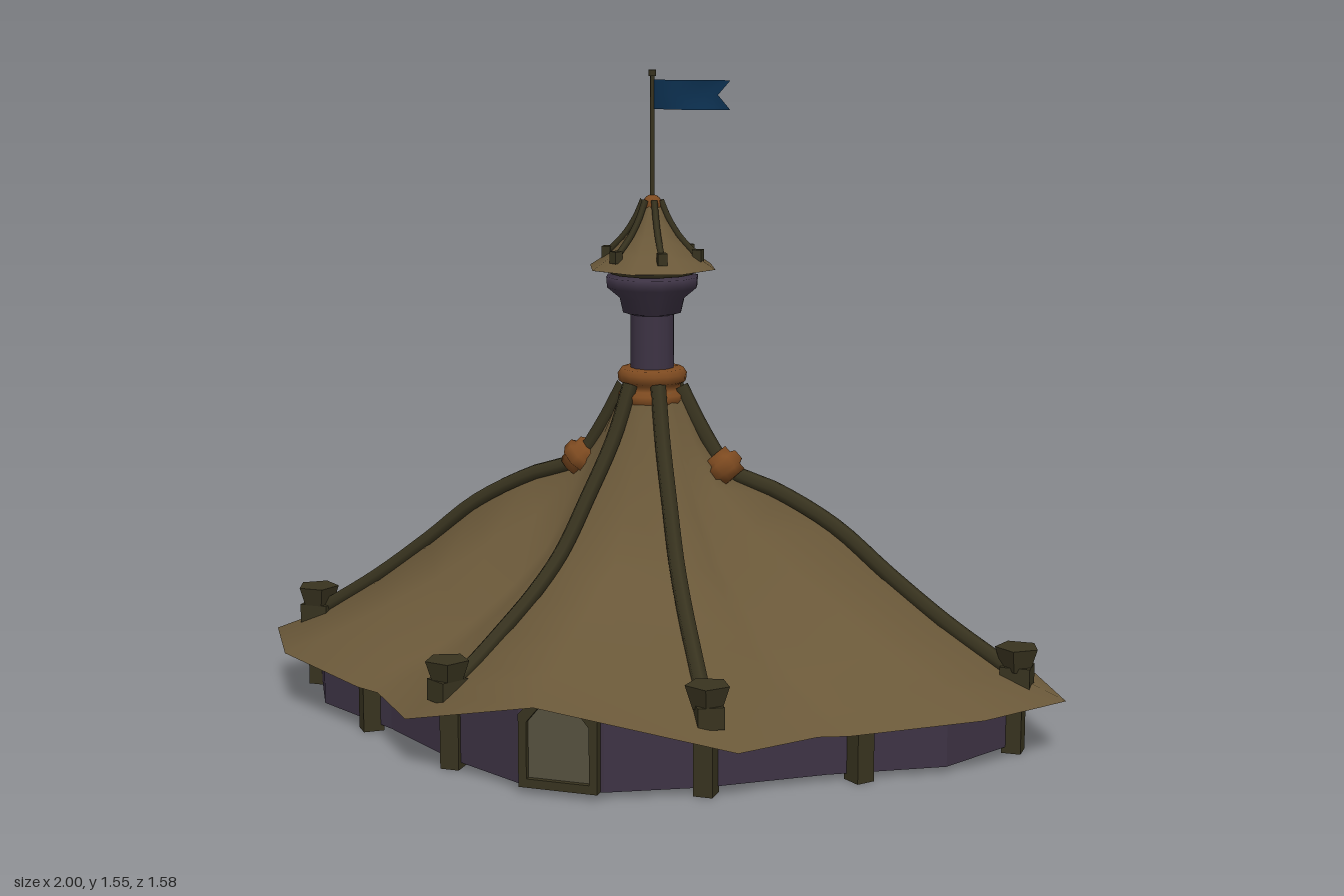
import * as THREE from 'three';

const mat = (name, color, side = THREE.FrontSide) => {
  const m = new THREE.MeshStandardMaterial({ color, side });
  m.name = name;
  return m;
};
const V = (x, y, z) => new THREE.Vector3(x, y, z);

// Repeat a quarter of a plan (columns from +x round to +z) into a full ring
function mirror4(cols) {
  const flip = (list, sx, sz) => list.map(c => c.map(p => V(p.x * sx, p.y, p.z * sz)));
  const rev = [...cols].reverse();
  return [...cols, ...flip(rev.slice(1), -1, 1), ...flip(cols.slice(1), -1, -1), ...flip(rev.slice(1, -1), 1, -1)];
}

// Skin a closed ring of columns
function loft(cols, flat = false) {
  const n = cols[0].length, index = [];
  cols.forEach((_, s) => {
    const t = (s + 1) % cols.length;
    for (let k = 0; k < n - 1; k++) {
      const a = s * n + k, b = t * n + k;
      index.push(a, b, a + 1, b, b + 1, a + 1);
    }
  });
  let g = new THREE.BufferGeometry().setFromPoints(cols.flat());
  g.setIndex(index);
  if (flat) g = g.toNonIndexed();
  g.computeVertexNormals();
  return g;
}

// Roof profiles [radius, height] at each plan angle of one quarter
const wingRidge = [[.07, .8], [.13, .69], [.19, .61], [.31, .565], [.45, .49], [.58, .385], [.72, .28], [.86, .19], [1, .13]];
const ribLine = [[.07, .8], [.12, .68], [.2, .55], [.28, .43], [.36, .35], [.45, .28], [.54, .215], [.62, .165], [.70, .12]];
const spokes = [
  [0, wingRidge],
  [15.6, [[.07, .8], [.12, .68], [.18, .58], [.28, .49], [.4, .41], [.52, .33], [.64, .26], [.77, .195], [.893, .14]]],
  [34, [[.07, .8], [.12, .67], [.19, .54], [.26, .43], [.34, .345], [.43, .27], [.52, .21], [.62, .165], [.715, .125]]],
  [39, [[.07, .8], [.12, .67], [.19, .53], [.26, .42], [.33, .34], [.41, .27], [.5, .205], [.59, .16], [.68, .125]]],
  [56, ribLine],
  [90, [[.07, .8], [.12, .67], [.19, .55], [.27, .435], [.36, .405], [.45, .375], [.56, .335], [.67, .29], [.79, .245]]],
];
const polar = (deg, r, y) => V(r * Math.cos(deg * Math.PI / 180), y, r * Math.sin(deg * Math.PI / 180));

export function createModel() {
  const canvas = mat('tanCanvas', 0x6a5839, THREE.DoubleSide);
  const plum = mat('plumWall', 0x3d3344, THREE.DoubleSide);
  const wood = mat('darkWood', 0x38331f);
  const copper = mat('copper', 0x7d4a20);
  const navy = mat('navyCloth', 0x0c3050, THREE.DoubleSide);
  const glass = mat('dullGlass', 0x55513f);

  const model = new THREE.Group();
  const add = (name, geo, m, parent = model) => {
    const mesh = new THREE.Mesh(geo, m);
    mesh.name = name;
    parent.add(mesh);
    return mesh;
  };
  const group = name => {
    const g = new THREE.Group();
    g.name = name;
    model.add(g);
    return g;
  };
  const lathe = (pts, seg) => new THREE.LatheGeometry(pts.map(p => new THREE.Vector2(...p)), seg);

  // Main roof and the dark lining beneath it
  const columns = spokes.map(([deg, prof]) => prof.map(([r, y]) => polar(deg, r, y)));
  add('mainRoof', loft(mirror4(columns)), canvas);
  const lining = columns.map(c => c.slice(4, 8).reverse().map(p => V(p.x, p.y - .025, p.z)));
  add('roofLining', loft(mirror4(lining)), plum);

  // Outer wall, its top following the eaves
  const plan = [[.88, 0, .17], [.77, .21, .17], [.53, .35, .14], [.3, .52, .15], [.1, .625, .235], [0, .625, .25]];
  const wallCols = mirror4(plan.map(([x, z, top]) => [V(x, top, z), V(x, .015, z)]));
  add('wall', loft(wallCols, true), plum);

  // Wall posts
  const posts = group('wallPosts');
  for (const sx of [-1, 1]) {
    for (const [x, z, h] of [[.88, 0, .19], [.595, .32, .13], [.3, .52, .16]]) {
      for (const sz of z ? [-1, 1] : [1]) {
        const p = add('wallPost', new THREE.BoxGeometry(.045, h, .05), wood, posts);
        p.position.set(sx * x, h / 2, sz * z);
        if (x > .5 && z) p.rotation.y = sx * sz * .9;
      }
    }
  }

  // Doors at front and back: pointed frame with a pane
  const arch = (w, h, b) => {
    const s = new THREE.Shape();
    s.moveTo(-w, b);
    s.lineTo(w, b);
    s.lineTo(w, h * .74);
    s.lineTo(w * .55, h * .92);
    s.lineTo(0, h);
    s.lineTo(-w * .55, h * .92);
    s.lineTo(-w, h * .74);
    s.closePath();
    return s;
  };
  for (const turn of [0, Math.PI]) {
    const door = group('door');
    door.rotation.y = turn;
    const frame = arch(.092, .245, .015);
    frame.holes.push(arch(.073, .222, .035));
    add('doorFrame', new THREE.ExtrudeGeometry(frame, { depth: .03, bevelEnabled: false }), wood, door).position.z = .618;
    add('doorPane', new THREE.ExtrudeGeometry(arch(.075, .225, .03), { depth: .008, bevelEnabled: false }), glass, door).position.z = .627;
  }

  // Six roof ribs with flared end caps
  const ribs = group('roofRibs');
  for (let i = 0; i < 6; i++) {
    const deg = i * 60, wing = i % 3 === 0;
    const prof = wing ? wingRidge.slice(0, 8) : ribLine.slice(0, 8);
    const path = new THREE.CatmullRomCurve3(prof.map(([r, y]) => polar(deg, r, y + (wing ? .01 : .018))));
    add('roofRib', new THREE.TubeGeometry(path, 24, .019, 6), wood, ribs);
    const end = new THREE.Group();
    end.name = 'ribEnd';
    end.position.copy(polar(deg, wing ? .885 : .615, wing ? .2 : .205));
    end.rotation.y = -deg * Math.PI / 180;
    add('ribCap', new THREE.CylinderGeometry(.052, .034, .055, 5).toNonIndexed(), wood, end).position.y = .022;
    add('ribFoot', new THREE.BoxGeometry(.07, .05, .06), wood, end).position.y = -.02;
    end.children[0].geometry.computeVertexNormals();
    ribs.add(end);
  }

  // Copper bands where the wing ridges leave the main roof
  for (const s of [-1, 1]) {
    const band = add('ridgeBand', lathe([[0, -.035], [.034, -.035], [.034, -.018], [.046, -.012], [.046, .012], [.034, .018], [.034, .035], [0, .035]], 8), copper);
    band.position.set(s * .18, .625, 0);
    band.rotation.z = s * .75;
  }

  // Copper collar of two rings at the peak
  add('peakCollar', lathe([[.05, .762], [.068, .765], [.08, .775], [.08, .792], [.068, .802], [.066, .815], [.08, .822], [.082, .84], [.074, .852], [.05, .854]], 16), copper);

  // Turret shaft with flared gallery
  add('turretShaft', lathe([[.052, .8], [.052, .985]], 12), plum);
  add('turretGallery', lathe([[.052, .98], [.07, .985], [.078, 1.02], [.108, 1.045], [.11, 1.07], [.085, 1.072], [.085, 1.1]], 12), plum);
  add('galleryBand', lathe([[.085, 1.074], [.098, 1.076], [.098, 1.092], [.085, 1.095]], 12), wood);

  // Turret roof with small ribs
  const cap = [[.155, 1.09], [.1, 1.125], [.062, 1.165], [.036, 1.205], [.018, 1.245]];
  add('turretRoof', lathe(cap, 8), canvas);
  add('turretSoffit', lathe([[.08, 1.093], [.15, 1.089]], 8), plum);
  for (let i = 0; i < 6; i++) {
    const deg = i * 60;
    const path = new THREE.CatmullRomCurve3(cap.slice(1).map(([r, y]) => polar(deg, r + .004, y + .003)));
    add('turretRib', new THREE.TubeGeometry(path, 10, .008, 5), wood, ribs);
    const tip = add('turretRibTip', new THREE.BoxGeometry(.022, .028, .022), wood, ribs);
    tip.position.copy(polar(deg, .112, 1.122));
    tip.rotation.y = -deg * Math.PI / 180;
  }
  add('finialBall', new THREE.SphereGeometry(.024, 10, 8), copper).position.y = 1.237;

  // Flagpole and swallowtail flag
  add('flagpole', new THREE.CylinderGeometry(.005, .006, .3, 8), wood).position.y = 1.395;
  add('poleKnob', new THREE.CylinderGeometry(.009, .009, .014, 8), wood).position.y = 1.543;
  const flag = new THREE.PlaneGeometry(.185, .068, 10, 2);
  const p = flag.attributes.position;
  for (let i = 0; i < p.count; i++) {
    const u = p.getX(i) / .185 + .5, v = p.getY(i) / .034;
    const x = u * (.155 + .03 * Math.abs(v));
    p.setXYZ(i, x, p.getY(i) + 1.494, .014 * Math.sin(u * 5));
  }
  flag.computeVertexNormals();
  add('flag', flag, navy);

  return model;
}
